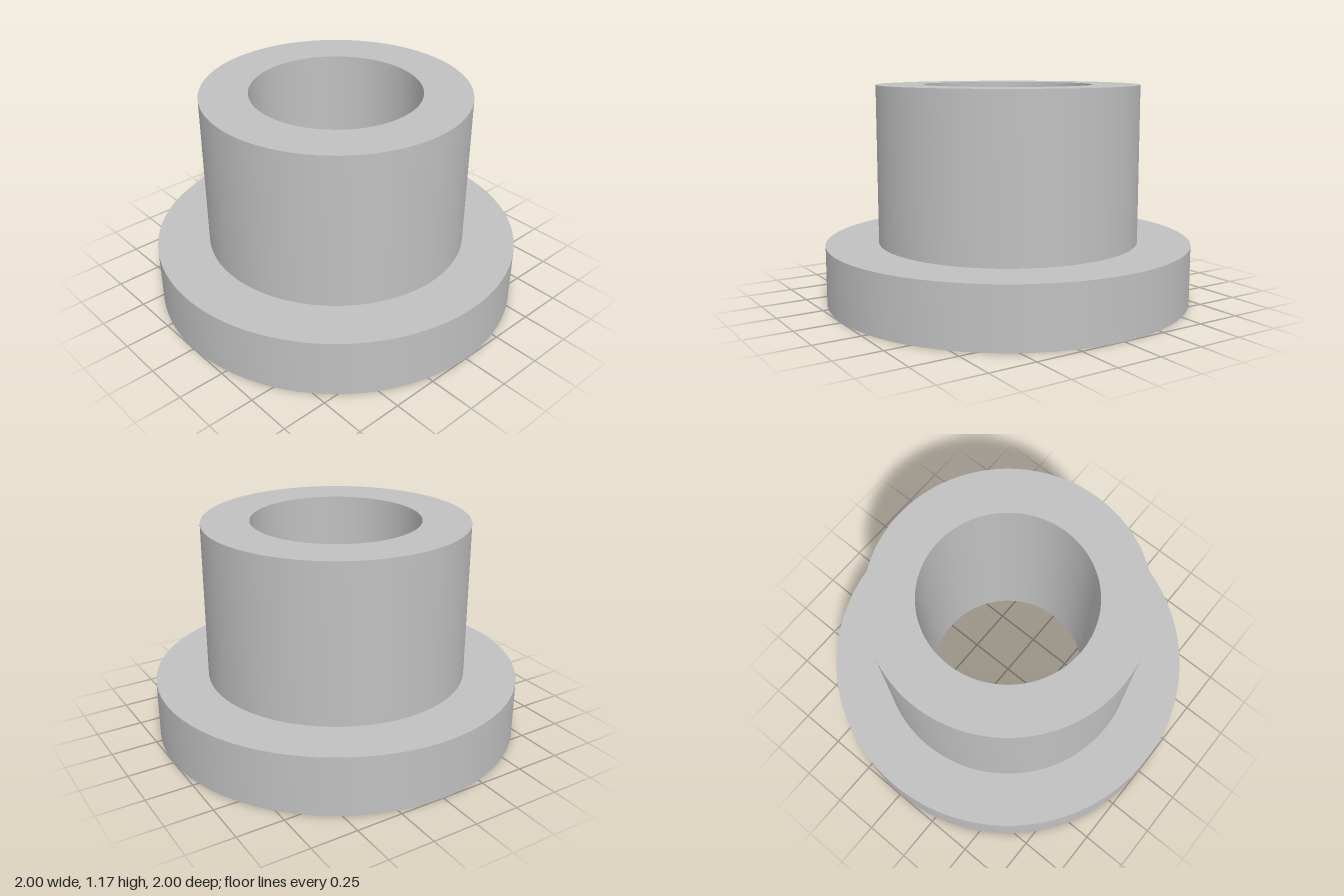
import * as THREE from 'three';
import { toCreasedNormals } from 'three/addons/utils/BufferGeometryUtils.js';

const BORE = 0.457, BARREL = 0.714, FLANGE = 1;
const FLANGE_TOP = 0.32, TOP = 1.175;

export function createModel() {
  const group = new THREE.Group();
  group.name = 'flangedBushing';
  const metal = new THREE.MeshStandardMaterial({ color: 0xc0c0c0 });
  metal.name = 'light grey metal';

  // Closed section: underside, flange rim, shoulder, barrel, top ring, bore
  const profile = [
    [BORE, 0], [FLANGE, 0], [FLANGE, FLANGE_TOP], [BARREL, FLANGE_TOP],
    [BARREL, TOP], [BORE, TOP], [BORE, 0],
  ].map(([r, y]) => new THREE.Vector2(r, y));

  // Smooth round walls with sharp rims
  const geometry = toCreasedNormals(new THREE.LatheGeometry(profile, 96), 0.6);
  const body = new THREE.Mesh(geometry, metal);
  body.name = 'flangedSleeve';
  group.add(body);
  return group;
}
